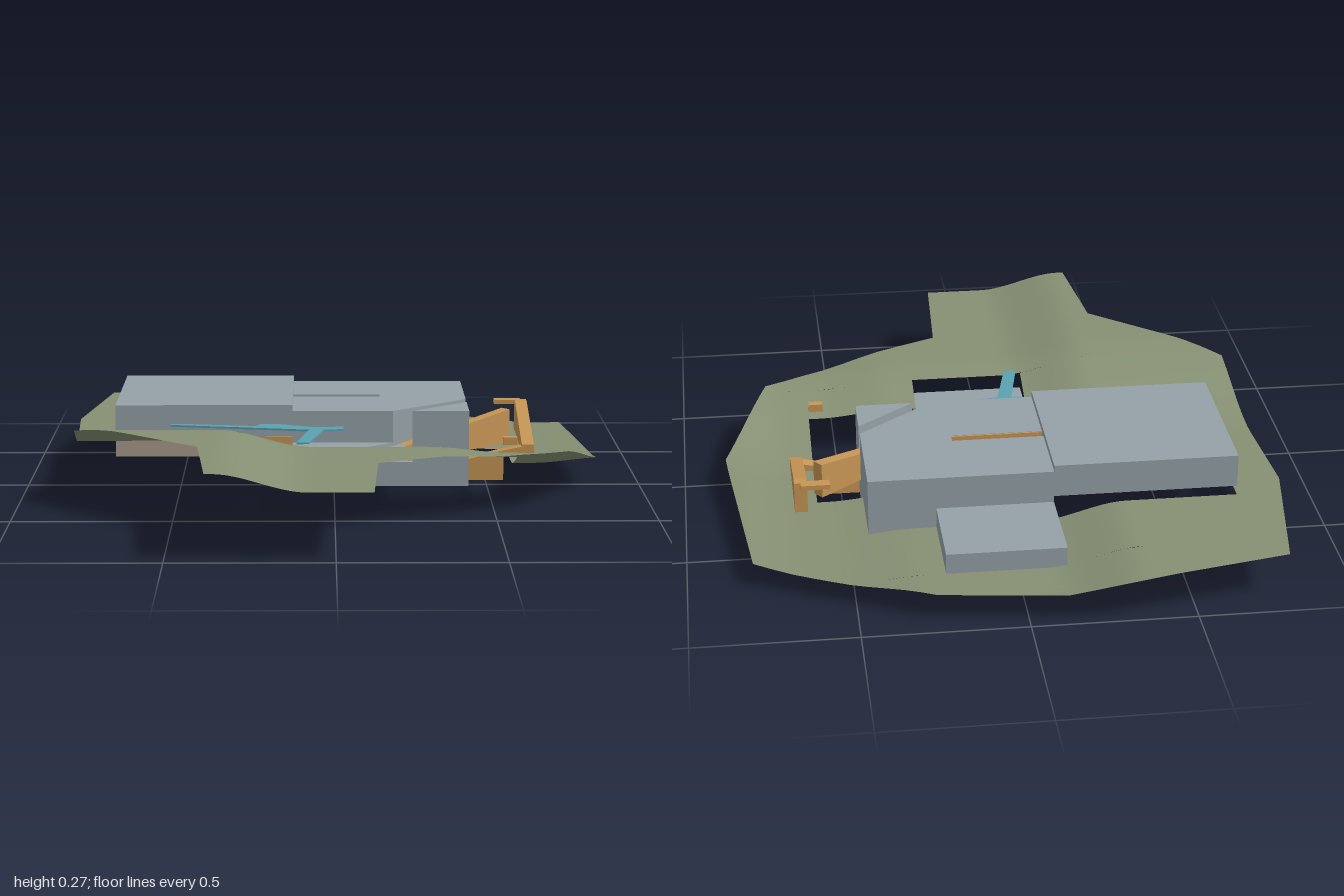
import * as THREE from 'three';
import { ParametricGeometry } from 'three/addons/geometries/ParametricGeometry.js';

const mat = (name, color, side = THREE.FrontSide) => {
  const m = new THREE.MeshStandardMaterial({ color, side });
  m.name = name;
  return m;
};

export function createModel() {
  const model = new THREE.Group();
  const grey = mat('building grey', 0x95a1a7);
  const green = mat('ground green', 0x88937a, THREE.DoubleSide);
  green.color.set(0x869073);
  const orange = mat('circulation orange', 0xc69554);
  const teal = mat('path teal', 0x5aa2b0);
  const beige = mat('wall beige', 0xa89a8c);

  const add = (name, geo, material) => {
    const mesh = new THREE.Mesh(geo, material);
    mesh.name = name;
    model.add(mesh);
    return mesh;
  };
  // box given by its extents
  const box = (name, m, x0, x1, y0, y1, z0, z1) => {
    const g = new THREE.BoxGeometry(x1 - x0, y1 - y0, z1 - z0);
    g.translate((x0 + x1) / 2, (y0 + y1) / 2, (z0 + z1) / 2);
    return add(name, g, m);
  };
  // plan outline of [x, z] points raised from y0 to y1
  const slab = (name, m, pts, y0, y1) => {
    const shape = new THREE.Shape(pts.map(([x, z]) => new THREE.Vector2(x, -z)));
    const g = new THREE.ExtrudeGeometry(shape, { depth: y1 - y0, bevelEnabled: false });
    g.rotateX(-Math.PI / 2).translate(0, y0, 0);
    return add(name, g, m);
  };
  // upright wall with a [distance, y] profile, running from a to b in plan
  const wall = (name, m, a, b, width, profile) => {
    const shape = new THREE.Shape(profile.map(([d, y]) => new THREE.Vector2(d, y)));
    const g = new THREE.ExtrudeGeometry(shape, { depth: width, bevelEnabled: false });
    g.translate(0, 0, -width / 2);
    g.rotateY(-Math.atan2(b[1] - a[1], b[0] - a[0])).translate(a[0], 0, a[1]);
    return add(name, g, m);
  };

  // ---- ground sheet: outline edges by z, with openings for the building
  const left = [[-1, -0.312], [-0.9, -0.79], [-0.42, -0.865], [0.28, -0.82], [0.63, -0.415], [1, -0.38]];
  const right = [[-1, -0.308], [-0.92, 0.27], [-0.66, 0.8], [0, 0.865], [0.34, 0.72], [0.61, 0.13], [1, 0.11]];
  const at = (edge, z) => {
    let i = 0;
    while (i < edge.length - 2 && z > edge[i + 1][0]) i++;
    const [z0, x0] = edge[i], [z1, x1] = edge[i + 1];
    return x0 + (x1 - x0) * (z - z0) / (z1 - z0);
  };
  const smooth = THREE.MathUtils.smoothstep;
  const height = (x, z) =>
    0.06 + 0.02 * smooth(Math.abs(x - 0.6), 0.05, 0.3)
    + 0.128 * smooth(z, -0.1, 0.42)
    + 0.055 * (1 - smooth(x, -0.36, -0.08));
  // [start z, opening from x, opening to x]
  const zones = [[-1], [-0.8, -0.135, 0.23], [-0.51, -0.71, 0.44], [-0.27, -0.71, 0.585],
    [0.02, -0.135, 0.585], [0.18, -0.135, 0.23], [0.31]];
  const cuts = [...new Set([...zones, ...left, ...right].map(e => e[0]))].sort((a, b) => a - b);
  const ground = new THREE.Group();
  ground.name = 'ground';
  model.add(ground);
  for (let i = 0; i < cuts.length - 1; i++) {
    const z0 = cuts[i], z1 = cuts[i + 1];
    const zone = zones.filter(e => e[0] <= z0).pop();
    const L = z => at(left, z), R = z => at(right, z);
    const spans = zone.length === 1 ? [[L, R]] : [[L, () => zone[1]], [() => zone[2], R]];
    for (const [from, to] of spans) {
      const surface = (u, v, p) => {
        const z = z0 + (z1 - z0) * u;
        const x = from(z) + (to(z) - from(z)) * v;
        p.set(x, height(x, z), z);
      };
      const rows = Math.max(2, Math.ceil((z1 - z0) / 0.03));
      const strip = new THREE.Mesh(new ParametricGeometry(surface, rows, 24), green);
      strip.name = 'groundStrip';
      ground.add(strip);
    }
  }

  // ---- main block: solid base, upper storey split by the diagonal slot
  box('mainBase', grey, -0.135, 0.44, 0, 0.08, -0.51, 0.02);
  slab('mainUpper', grey, [[-0.135, -0.51], [0.44, -0.51], [0.44, -0.182], [0.192, 0.02], [-0.135, 0.02],
    [-0.135, -0.23], [0.155, -0.23], [0.155, -0.265], [-0.135, -0.265]], 0.08, 0.25);
  slab('mainCorner', grey, [[0.256, 0.02], [0.44, -0.13], [0.44, 0.02]], 0.08, 0.25);

  // ---- raised side wing and low annexes
  box('sideWing', grey, -0.71, -0.135, 0.165, 0.27, -0.51, 0.02);
  box('backAnnex', grey, -0.135, 0.23, 0.08, 0.145, -0.8, -0.51);
  box('frontAnnexFloor', grey, -0.135, 0.23, 0.08, 0.09, 0.02, 0.31);
  slab('frontAnnex', grey, [[-0.135, 0.02], [0.192, 0.02], [0.0274, 0.1545], [0.0526, 0.1855],
    [0.23, 0.041], [0.23, 0.31], [-0.135, 0.31]], 0.09, 0.145);

  // ---- walls below the wing
  box('wingWall', beige, -0.71, -0.36, 0.1, 0.165, 0.005, 0.02);
  box('wingStair', orange, -0.36, -0.135, 0.08, 0.165, 0.008, 0.023);

  // ---- stairs and ramps
  box('roofSlotStair', orange, -0.135, 0.155, 0.08, 0.225, -0.265, -0.23);
  box('roofSlotLining', orange, -0.135, 0.155, 0.225, 0.249, -0.236, -0.23);
  wall('diagonalRamp', orange, [0.04, 0.17], [0.58, -0.27], 0.038,
    [[0, 0.085], [0.697, 0.085], [0.697, 0.2], [0, 0.105]]);
  wall('outerRamp', orange, [0.64, -0.065], [0.64, -0.41], 0.04,
    [[0, 0.09], [0.345, 0.105], [0.345, 0.205], [0.31, 0.205], [0, 0.12]]);
  wall('lowerRamp', orange, [0.44, -0.085], [0.66, -0.085], 0.04,
    [[0, 0], [0.12, 0], [0.12, 0.085], [0.22, 0.09], [0.22, 0.12], [0.12, 0.1], [0, 0.07]]);
  box('rampLanding', orange, 0.55, 0.64, 0.19, 0.205, -0.43, -0.395);
  box('edgePost', orange, 0.54, 0.585, 0.17, 0.195, 0.155, 0.18);

  // ---- branching footpath
  slab('footpath', teal, [[-0.53, 0.015], [-0.25, 0.055], [-0.24, 0.02], [-0.19, 0.02], [-0.06, 0.075],
    [0.03, 0.065], [0.03, 0.105], [-0.035, 0.115], [-0.08, 0.31], [-0.12, 0.31], [-0.08, 0.115],
    [-0.53, 0.035]], 0.202, 0.208);

  return model;
}
